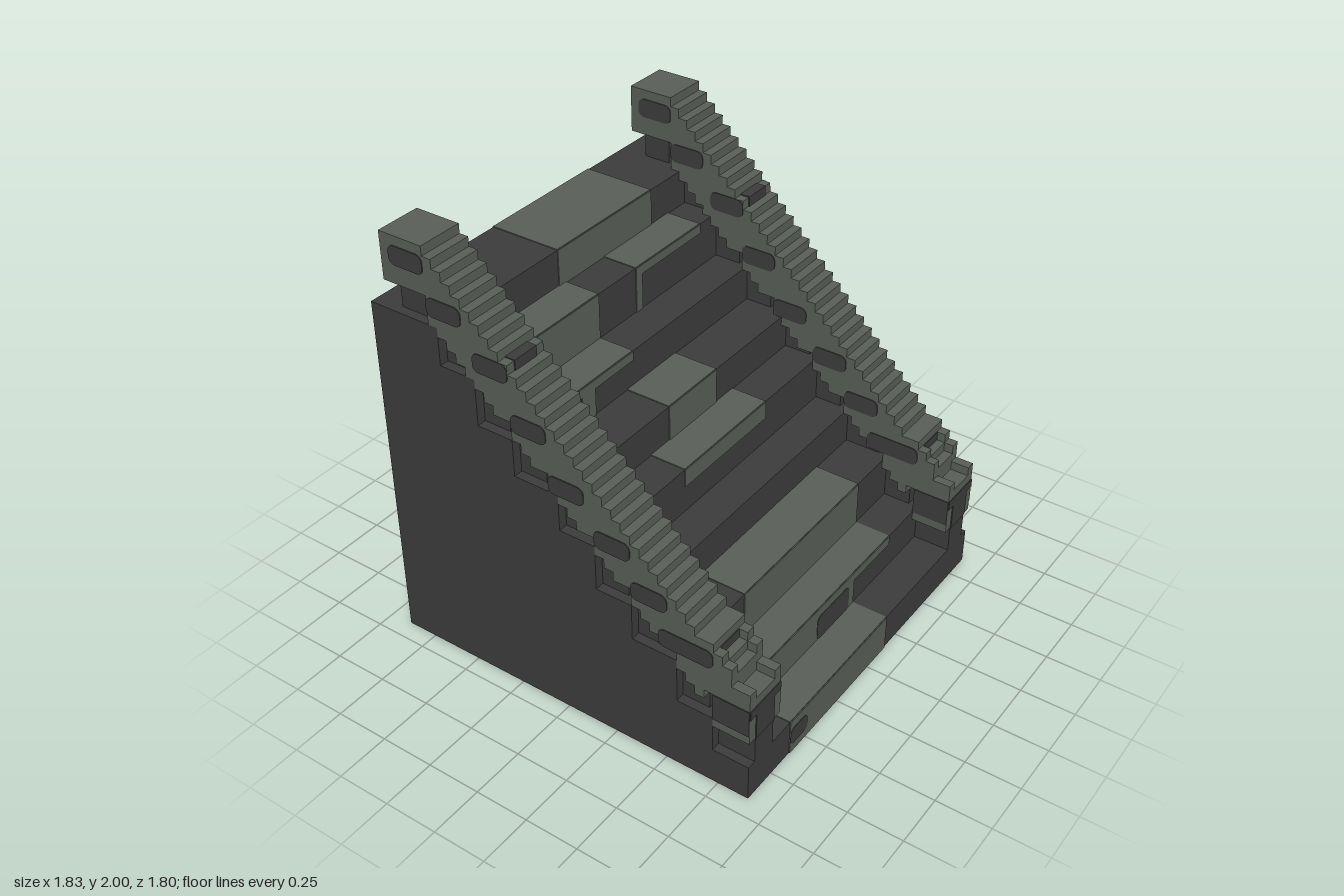
import * as THREE from 'three';

export function createModel() {
  const U = 2 / 47; // one block unit; x counted from the right side, k from the front
  const dark = new THREE.MeshStandardMaterial({ color: 0x3c3c3c });
  dark.name = 'dark stone';
  const green = new THREE.MeshStandardMaterial({ color: 0x585f57 });
  green.name = 'mossy stone';
  const model = new THREE.Group();
  model.name = 'staircase';
  model.scale.setScalar(U);
  const T = 0.1; // thickness of painted plates

  function add(parent, name, geo, mat) {
    const m = new THREE.Mesh(geo, mat);
    m.name = name;
    parent.add(m);
    return m;
  }
  function group(name) {
    const g = new THREE.Group();
    g.name = name;
    model.add(g);
    return g;
  }
  function box(parent, name, mat, x0, x1, y0, y1, k0, k1) {
    const m = add(parent, name, new THREE.BoxGeometry(x1 - x0, y1 - y0, k1 - k0), mat);
    m.position.set((x0 + x1) / 2 - 21.5, (y0 + y1) / 2, 21 - (k0 + k1) / 2);
    return m;
  }
  // extrude a side profile (z, y) across the width from x0 to x1
  function slab(parent, name, mat, shape, x0, x1) {
    const geo = new THREE.ExtrudeGeometry(shape, { depth: x1 - x0, bevelEnabled: false, curveSegments: 4 });
    geo.rotateY(-Math.PI / 2).translate(x1 - 21.5, 0, 0);
    return add(parent, name, geo, mat);
  }
  const profile = pts => new THREE.Shape(pts.map(([k, y]) => new THREE.Vector2(21 - k, y)));
  function rounded(x0, x1, y0, y1, r) {
    const s = new THREE.Shape();
    s.absarc(x1 - r, y0 + r, r, -Math.PI / 2, 0);
    s.absarc(x1 - r, y1 - r, r, 0, Math.PI / 2);
    s.absarc(x0 + r, y1 - r, r, Math.PI / 2, Math.PI);
    s.absarc(x0 + r, y0 + r, r, Math.PI, Math.PI * 1.5);
    return s;
  }

  // stepped body, with a thin outer cladding that holds a small slot
  const steps = [[0, 4], [4, 8], [8, 13], [13, 17], [17, 22], [21, 26], [26, 30], [30, 35], [34, 39]];
  const outline = [[42, 0], [0, 0]];
  steps.forEach(([k, y], i) => outline.push([k, y], [i < 8 ? steps[i + 1][0] : 42, y]));
  slab(model, 'steps', dark, profile(outline), 0, 41);
  const cladding = profile(outline);
  cladding.holes.push(new THREE.Path([[31, 15], [31, 16], [35, 16], [35, 15]]
    .map(([k, y]) => new THREE.Vector2(21 - k, y))));
  slab(model, 'sideWall', dark, cladding, 41, 42);

  // raised stones on the side wall
  for (const [k0, k1, y0, y1] of [[25, 30, 19, 22], [15, 20, 8, 11], [30, 36, 3, 6]])
    box(model, 'raisedStone', dark, 41.9, 43, y0, y1, k0, k1);

  // mossy treads: step index, x range
  const moss = group('mossPatches');
  for (const [i, x0, x1] of [[0, 7, 25], [1, 7, 32], [2, 11, 32], [4, 14, 28], [5, 17, 25],
    [6, 5, 18], [7, 7, 18], [7, 24, 35], [8, 17, 32]]) {
    const [k, y] = steps[i];
    box(moss, 'treadMoss', green, x0, x1, y, y + T, k, i < 8 ? steps[i + 1][0] : 42);
  }
  // mossy risers: step index, x range, y range
  for (const [i, x0, x1, y0, y1] of [[0, 7, 25, 0, 4], [1, 7, 25, 4, 8], [1, 25, 32, 7, 8],
    [2, 11, 32, 8, 13], [2, 7, 11, 8, 9], [4, 14, 28, 20, 22], [5, 17, 25, 22, 26],
    [6, 10, 12, 26, 30], [6, 5, 18, 29, 30], [7, 7, 18, 30, 35], [7, 24, 25, 30, 35],
    [7, 24, 35, 34, 35], [8, 17, 32, 35, 39]])
    box(moss, 'riserMoss', green, x0, x1, y0, y1, steps[i][0] - T, steps[i][0]);
  // bare stones inside the moss
  for (const [i, x0, x1, y0, y1] of [[0, 7, 10, 1, 3], [1, 18, 24, 4, 7]]) {
    const geo = new THREE.ExtrudeGeometry(rounded(x0 - 21.5, x1 - 21.5, y0, y1, 0.7),
      { depth: T, bevelEnabled: false, curveSegments: 4 });
    add(moss, 'bareStone', geo, dark).position.z = 21 - steps[i][0] + T / 2;
  }
  // moss on the underside and its edges on the back
  box(moss, 'undersideMoss', green, 7, 25, -0.02, 0.02, 0, 42);
  box(moss, 'backMossLow', green, 7, 25, 0, 1, 42, 42 + T);
  box(moss, 'backMossHigh', green, 17, 32, 38, 39, 42, 42 + T);

  // railing heights per row
  const gaps = [4, 8, 13, 17, 22, 26];
  const railTop = k => k < 2 ? 13 : k < 5 ? k + 13 : Math.min(k + 12, 47);
  const railBottom = k => k < 4 ? 7 : k === 4 ? 11 : k >= 35 ? 42 : k + (gaps.includes(k) ? 6 : 5);
  const stepTop = k => steps.filter(s => s[0] <= k).pop()[1];
  function railShape(sunk) {
    const pts = [];
    for (let k = 0; k < 40; k++) {
      const y = railTop(k) - (k < 4 ? sunk : 0);
      pts.push([k, y], [k + 1, y]);
    }
    for (let k = 39; k >= 0; k--) pts.push([k + 1, railBottom(k)], [k, railBottom(k)]);
    return profile(pts.filter((p, i) => !i || p[0] !== pts[i - 1][0] || p[1] !== pts[i - 1][1]));
  }
  const sidePatches = [[4, 10, 14, 16], [9, 13, 18, 20], [13, 17, 22, 24], [18, 22, 26, 28],
    [22, 26, 31, 33], [26, 30, 36, 38], [31, 35, 40, 42], [35, 39, 44, 46]];

  for (const [name, x] of [['rightRailing', 0], ['leftRailing', 37]]) {
    const g = group(name);
    // handrail with a slightly sunken centre at the foot
    slab(g, 'railEdge', green, railShape(0), x, x + 1);
    slab(g, 'railCore', green, railShape(1), x + 1, x + 4);
    slab(g, 'railEdge', green, railShape(0), x + 4, x + 5);
    // narrow supports standing on the steps
    box(g, 'footPost', dark, x + 1, x + 4, 3.9, 7, 0, 4);
    box(g, 'topPost', dark, x + 1, x + 4, 38.9, 42, 36, 39);
    for (let k = 5; k < 35; k++)
      if (!gaps.includes(k) && railBottom(k) > stepTop(k))
        box(g, 'support', dark, x + 1, x + 4, stepTop(k), railBottom(k), k, k + 1);
    // bare stones on both faces of the rail
    for (const side of [x - T, x + 5]) {
      for (const [k0, k1, y0, y1] of sidePatches)
        slab(g, 'railStone', dark, rounded(21 - k1, 21 - k0, y0, y1, 0.7), side, side + T);
      box(g, 'footStone', dark, side, side + T, 8, 11, 0, 4);
    }
    // bare stone on the foot front and on two rail treads
    box(g, 'footFront', dark, x + 1, x + 4, 7, 11, -T, 0);
    box(g, 'footFrontBand', dark, x, x + 5, 10, 11, -T, 0);
    box(g, 'lowTreadStone', dark, x + 1, x + 4, 15, 16, 4 - T, 4);
    box(g, 'highTreadStone', dark, x + 1, x + 4, 37, 38 + T, 26 - T, 26);
    box(g, 'highTreadStone', dark, x + 1, x + 4, 38, 38 + T, 26, 27);
  }

  const root = new THREE.Group();
  root.name = 'stoneStaircase';
  root.add(model);
  return root;
}
